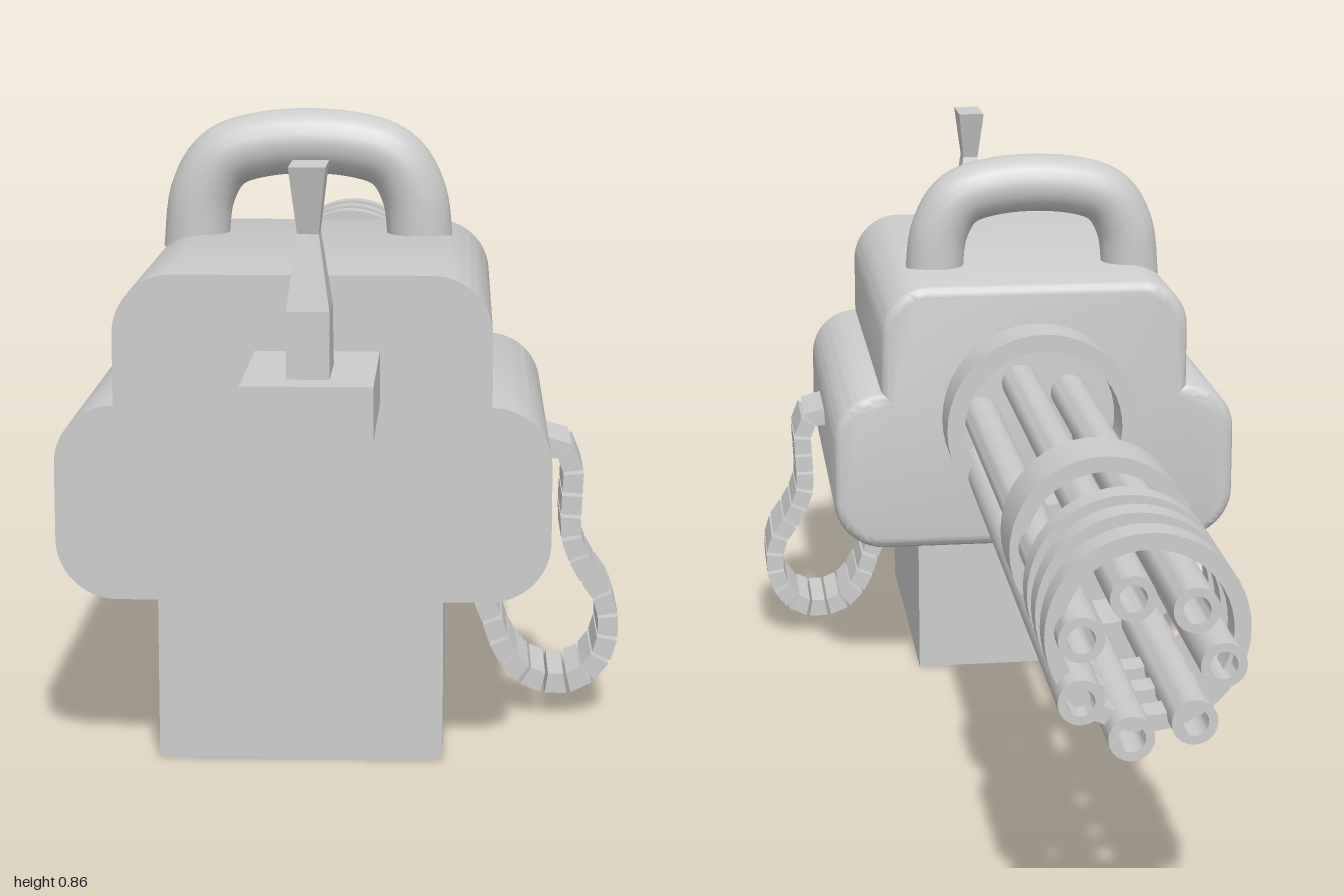
import * as THREE from 'three';
import { toCreasedNormals } from 'three/addons/utils/BufferGeometryUtils.js';

const material = new THREE.MeshStandardMaterial({ color: 0xcccccc });

export function createModel() {
  const model = new THREE.Group();

  const add = (name, geometry, parent = model) => {
    const mesh = new THREE.Mesh(geometry, material);
    mesh.name = name;
    parent.add(mesh);
    return mesh;
  };
  const group = (name) => {
    const g = new THREE.Group();
    g.name = name;
    model.add(g);
    return g;
  };
  // Box given by its limits on each axis
  const box = (x0, x1, y0, y1, z0, z1) =>
    new THREE.BoxGeometry(x1 - x0, y1 - y0, z1 - z0)
      .translate((x0 + x1) / 2, (y0 + y1) / 2, (z0 + z1) / 2);
  // Hollow pipe running along z
  const pipe = (inner, outer, z0, z1, x, y, sides) => {
    const profile = [[inner, z0], [outer, z0], [outer, z1], [inner, z1], [inner, z0]]
      .map(([r, h]) => new THREE.Vector2(r, h));
    const g = new THREE.LatheGeometry(profile, sides).rotateX(Math.PI / 2).translate(x, y, 0);
    return toCreasedNormals(g, 0.7);
  };

  // Housing: stepped outline, rounded at the back edge and flat at the front
  const cx = -0.053;
  const wide = 0.332, narrow = 0.252, low = 0.235, step = 0.5, top = 0.676;
  const rLow = 0.083, rStep = wide - narrow, rTop = 0.08;
  const outline = new THREE.Shape();
  outline.moveTo(cx - wide + rLow, low);
  outline.lineTo(cx + wide - rLow, low);
  outline.absarc(cx + wide - rLow, low + rLow, rLow, -Math.PI / 2, 0);
  outline.absarc(cx + narrow, step - rStep, rStep, 0, Math.PI / 2);
  outline.absarc(cx + narrow - rTop, top - rTop, rTop, 0, Math.PI / 2);
  outline.absarc(cx - narrow + rTop, top - rTop, rTop, Math.PI / 2, Math.PI);
  outline.absarc(cx - narrow, step - rStep, rStep, Math.PI / 2, Math.PI);
  outline.absarc(cx - wide + rLow, low + rLow, rLow, Math.PI, Math.PI * 1.5);
  const depth = 0.62, bevel = 0.018;
  const housing = new THREE.ExtrudeGeometry(outline, {
    depth, bevelEnabled: true, bevelSize: bevel, bevelThickness: bevel,
    bevelOffset: -bevel, bevelSegments: 4, curveSegments: 10,
  });
  const pos = housing.attributes.position;
  for (let i = 0; i < pos.count; i++) pos.setZ(i, Math.min(pos.getZ(i), depth));
  housing.translate(0, 0, 0.12);
  add('housing', toCreasedNormals(housing, 0.6));

  // Ammunition box underneath
  add('ammoBox', box(-0.253, 0.135, 0, 0.24, 0.18, 0.695));

  // Carrying handle
  const handlePath = new THREE.CatmullRomCurve3(
    [[-0.237, 0.65], [-0.226, 0.735], [-0.195, 0.785], [-0.13, 0.807], [-0.01, 0.807],
      [0.055, 0.785], [0.086, 0.735], [0.097, 0.65]].map(([x, y]) => new THREE.Vector3(x, y, 0.28)));
  add('carryingHandle', new THREE.TubeGeometry(handlePath, 48, 0.048, 20));

  // Seven barrels
  const barrels = group('barrels');
  for (let i = 0; i < 7; i++) {
    const a = Math.PI + (i * Math.PI * 2) / 7;
    add('barrel', pipe(0.018, 0.03, -1, 0.11,
      -0.048 + 0.095 * Math.cos(a), 0.42 + 0.095 * Math.sin(a), 20), barrels);
  }

  // Mounting collar and clamping bands, set a little above the barrel axis
  const bandY = 0.455;
  add('barrelCollar', pipe(0.128, 0.156, 0.02, 0.11, -0.055, bandY, 48));
  const bands = group('barrelBands');
  for (const [z0, z1] of [[-0.615, -0.513], [-0.8, -0.76], [-0.88, -0.84], [-0.967, -0.925]]) {
    add('barrelBand', pipe(0.11, 0.132, z0, z1, -0.052, bandY, 48), bands);
  }

  // Control shelf and waisted trigger grip
  add('gripShelf', box(-0.115, 0.05, 0.505, 0.575, 0.73, 1));
  const grip = new THREE.BoxGeometry(1, 1, 1, 1, 3, 1);
  // height, half width, back z, front z
  const sections = [[0.57, 0.027, 0.838, 0.952], [0.66, 0.027, 0.866, 0.952],
    [0.755, 0.0135, 0.89, 0.938], [0.84, 0.023, 0.866, 0.963]];
  const gp = grip.attributes.position;
  for (let i = 0; i < gp.count; i++) {
    const [y, half, back, front] = sections[Math.round((gp.getY(i) + 0.5) * 3)];
    gp.setXYZ(i, -0.033 + Math.sign(gp.getX(i)) * half, y, gp.getZ(i) > 0 ? front : back);
  }
  add('triggerGrip', toCreasedNormals(grip, 0.05));

  // Ammunition belt: links cut square to a curve from housing to box
  const belt = group('ammoBelt');
  const beltPath = new THREE.CatmullRomCurve3(
    [[0.277, 0.396], [0.302, 0.392], [0.317, 0.365], [0.316, 0.315], [0.316, 0.265],
      [0.335, 0.218], [0.362, 0.178], [0.371, 0.135], [0.36, 0.088], [0.33, 0.056],
      [0.29, 0.048], [0.25, 0.062], [0.219, 0.1], [0.203, 0.145], [0.182, 0.185], [0.14, 0.207]]
      .map(([x, y]) => new THREE.Vector3(x, y, 0)));
  const links = 21, half = 0.0145;
  const edge = (t, side) => {
    const p = beltPath.getPointAt(t), d = beltPath.getTangentAt(t);
    return new THREE.Vector2(p.x - d.y * half * side, p.y + d.x * half * side);
  };
  for (let i = 0; i < links; i++) {
    const t0 = (i + 0.06) / links, t1 = (i + 0.9) / links;
    const shape = new THREE.Shape([edge(t0, -1), edge(t1, -1), edge(t1, 1), edge(t0, 1)]);
    add('beltLink', new THREE.ExtrudeGeometry(shape, { depth: 0.125, bevelEnabled: false })
      .translate(0, 0, 0.365), belt);
  }

  return model;
}
